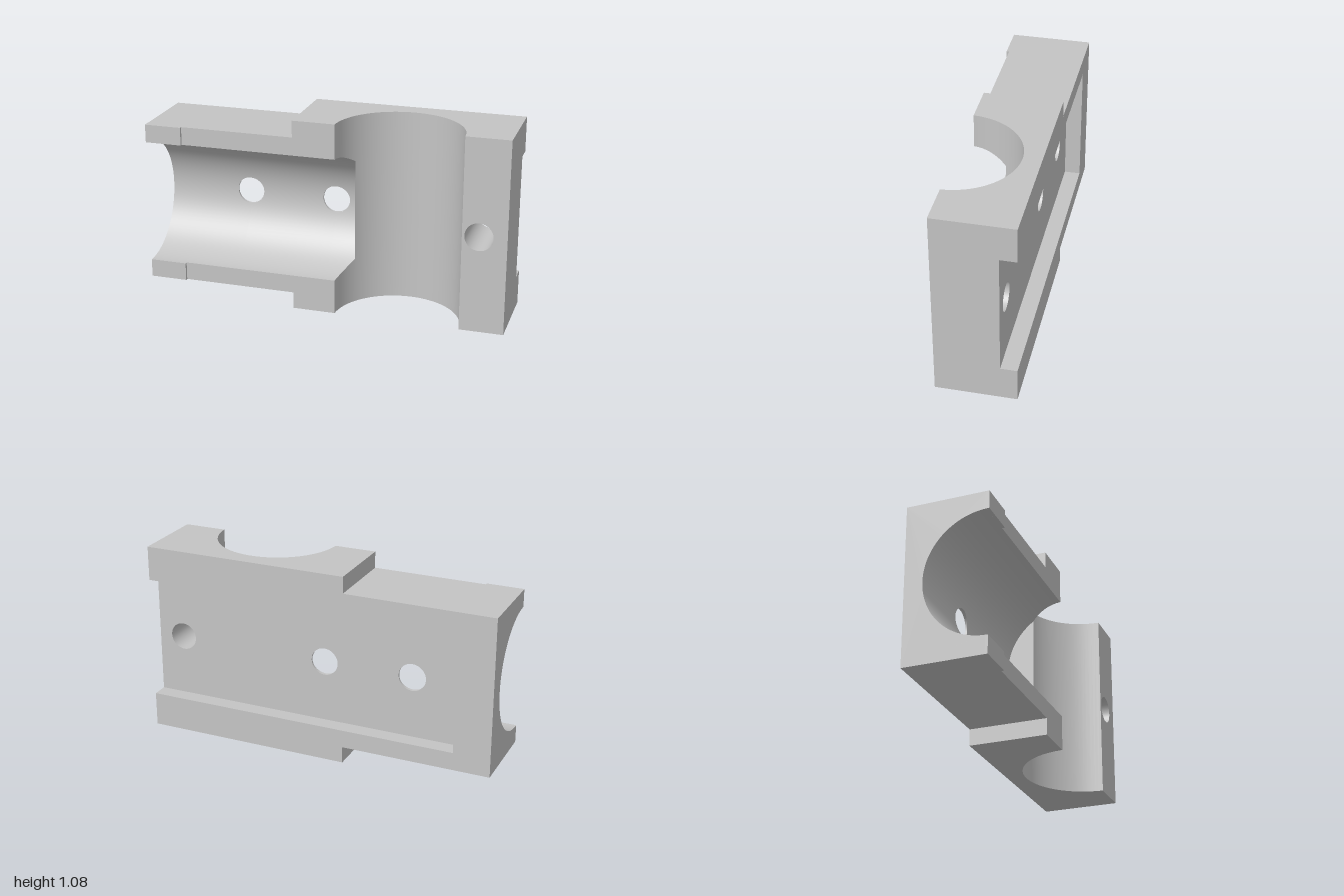
import * as THREE from 'three';

// Overall block
const TOP = 1.075, CY = TOP / 2, LOW = 0.0925, STEP = -0.165;
const FRONT = 0.21, BACK = -0.225, FLOOR = -0.135, POCKET = -0.795;
// Two crossing half-round bores of equal radius
const R = 0.345, CX = 0.415, CZ = 0.22, LIP = 0.13;
const H = Math.sqrt(R * R - (CZ - FRONT) ** 2);
const LIPU = CX - LIP;
// Bolt holes
const HR = 0.077, HOLES = [-0.525, -0.02, 0.85], SEG = 32;

const depth = u => CZ - Math.sqrt(R * R - u * u);
const mirrorY = pts => pts.map(([x, y]) => [x, TOP - y]);

// Offsets across a bore, following its arc, plus any extra stations
function stations(extra) {
  const a = Math.asin(H / R), list = [...extra];
  for (let i = 0; i <= 48; i++) list.push(R * Math.sin(-a + (2 * a * i) / 48));
  list.sort((p, q) => p - q);
  return list.filter((v, i) => i === 0 || v - list[i - 1] > 1e-6);
}

// Arc points of a bore section between two offsets, as [offset, z]
function arc(from, to) {
  const a = Math.asin(from / R), b = Math.asin(to / R);
  return Array.from({ length: 49 }, (_, i) => {
    const u = R * Math.sin(a + ((b - a) * i) / 48);
    return [u, depth(u)];
  });
}

const ring = x => Array.from({ length: SEG }, (_, i) => {
  const t = (i / SEG) * Math.PI * 2;
  return new THREE.Vector2(x + HR * Math.cos(t), CY + HR * Math.sin(t));
});

// Flat face on the plane axis = at, facing the given sign.
// Points are [x, y] for z planes, [x, z] for y planes, [z, y] for x planes.
function flat(axis, at, sign, pts, holes = []) {
  const shape = new THREE.Shape(pts.map(p => new THREE.Vector2(p[0], p[1])));
  holes.forEach(x => shape.holes.push(new THREE.Path(ring(x))));
  const geo = new THREE.ShapeGeometry(shape);
  const pos = geo.attributes.position;
  for (let i = 0; i < pos.count; i++) {
    const a = pos.getX(i), b = pos.getY(i);
    if (axis === 'z') pos.setXYZ(i, a, b, at);
    else if (axis === 'y') pos.setXYZ(i, a, at, b);
    else pos.setXYZ(i, at, b, a);
  }
  // The mapped faces point to +z, -y and -x before any flip
  if ((axis === 'z' ? 1 : -1) !== sign) flip(geo);
  geo.computeVertexNormals();
  return geo;
}

function flip(geo) {
  const idx = geo.index;
  for (let i = 0; i < idx.count; i += 3) {
    const a = idx.getX(i);
    idx.setX(i, idx.getX(i + 2));
    idx.setX(i + 2, a);
  }
}

const rect = (a0, b0, a1, b1) => [[a0, b0], [a1, b0], [a1, b1], [a0, b1]];

// Curved bore wall made of strips; spans(u, mid) gives the solid intervals along it
function bore(us, spans, vertical) {
  const position = [], normal = [];
  const put = (s, u) => {
    if (vertical) {
      position.push(CX + u, s, depth(u));
      normal.push(-u / R, 0, (CZ - depth(u)) / R);
    } else {
      position.push(s, CY + u, depth(u));
      normal.push(0, -u / R, (CZ - depth(u)) / R);
    }
  };
  for (let i = 0; i + 1 < us.length; i++) {
    const u0 = us[i], u1 = us[i + 1], mid = (u0 + u1) / 2;
    const lo = spans(u0, mid), hi = spans(u1, mid);
    lo.forEach(([a, b], k) => {
      const [c, d] = hi[k];
      const quad = [[a, u0], [b, u0], [d, u1], [a, u0], [d, u1], [c, u1]];
      if (vertical) quad.reverse();
      quad.forEach(q => put(...q));
    });
  }
  const geo = new THREE.BufferGeometry();
  geo.setAttribute('position', new THREE.Float32BufferAttribute(position, 3));
  geo.setAttribute('normal', new THREE.Float32BufferAttribute(normal, 3));
  return geo;
}

// Inside wall of a bolt hole, its front rim following the surface it opens on
function holeWall(x, rim) {
  const geo = new THREE.CylinderGeometry(HR, HR, 1, SEG, 1, true);
  geo.rotateX(Math.PI / 2);
  const pos = geo.attributes.position, nor = geo.attributes.normal;
  for (let i = 0; i < pos.count; i++) {
    const y = pos.getY(i);
    pos.setXYZ(i, pos.getX(i) + x, y + CY, pos.getZ(i) > 0 ? rim(y) : FLOOR);
    nor.setXYZ(i, -nor.getX(i), -nor.getY(i), 0);
  }
  flip(geo);
  return geo;
}

export function createModel() {
  const group = new THREE.Group();
  const grey = new THREE.MeshStandardMaterial({ color: 0xc4c4c4 });
  grey.name = 'plain grey';
  const add = (name, geo) => {
    const mesh = new THREE.Mesh(geo, grey);
    mesh.name = name;
    group.add(mesh);
    return mesh;
  };

  // Front faces either side of the bores
  const rail = [[-1, LOW], [STEP, LOW], [STEP, 0], [CX - H, 0], [CX - H, CY - H], [-1, CY - H]];
  add('lowerRailFace', flat('z', FRONT, 1, rail));
  add('upperRailFace', flat('z', FRONT, 1, mirrorY(rail)));
  add('postFace', flat('z', FRONT, 1, rect(CX + H, 0, 1, TOP), [HOLES[2]]));

  // Horizontal bore with two bolt holes, mitred into the vertical bore
  const holeStations = Array.from({ length: 17 }, (_, i) => HR * Math.sin(((i - 8) / SEG) * Math.PI * 2));
  add('horizontalBore', bore(stations([...holeStations, -LIPU, LIPU]), u => {
    const w = Math.sqrt(Math.max(0, HR * HR - u * u));
    const [a, b] = HOLES;
    return [[-1, a - w], [a + w, b - w], [b + w, Math.min(LIP, CX - Math.abs(u))]];
  }, false));

  // Vertical bore, open towards the horizontal one in front of the lip
  add('verticalBore', bore(stations([-LIPU]), (u, mid) =>
    mid < -LIPU ? [[0, CY + u], [CY - u, TOP]] : [[0, TOP]], true));

  // Lip wall that ends the horizontal bore
  add('boreLip', flat('x', LIP, -1, arc(-LIPU, LIPU).map(([u, z]) => [z, CY + u])));

  // Bolt hole walls
  HOLES.forEach((x, i) => add('boltHole' + (i + 1), holeWall(x, i < 2 ? depth : () => FRONT)));

  // Top and bottom, notched by the vertical bore, with lower ledges and steps
  const cap = [[STEP, FRONT], [STEP, BACK], [1, BACK], [1, FRONT],
    ...arc(H, -H).map(([u, z]) => [CX + u, z])];
  [[0, LOW, -1, 'bottom'], [TOP, TOP - LOW, 1, 'top']].forEach(([y, ledge, sign, name]) => {
    add(name + 'Face', flat('y', y, sign, cap));
    add(name + 'Ledge', flat('y', ledge, sign, rect(-1, BACK, STEP, FRONT)));
    add(name + 'Step', flat('x', STEP, -1, rect(BACK, Math.min(y, ledge), FRONT, Math.max(y, ledge))));
  });

  // Ends: one notched by the horizontal bore, one by the rear pocket
  const p0 = CY - R, p1 = CY + R;
  add('boreEnd', flat('x', -1, -1, [[FRONT, LOW], [BACK, LOW], [BACK, TOP - LOW], [FRONT, TOP - LOW],
    ...arc(H, -H).map(([u, z]) => [z, CY + u])]));
  add('pocketEnd', flat('x', 1, 1, [[FRONT, 0], [FRONT, TOP], [BACK, TOP], [BACK, p1],
    [FLOOR, p1], [FLOOR, p0], [BACK, p0], [BACK, 0]]));

  // Back face around the pocket
  add('backFace', flat('z', BACK, -1, [[-1, LOW], [STEP, LOW], [STEP, 0], [1, 0], [1, p0], [POCKET, p0],
    [POCKET, p1], [1, p1], [1, TOP], [STEP, TOP], [STEP, TOP - LOW], [-1, TOP - LOW]]));

  // Rear pocket
  add('pocketFloor', flat('z', FLOOR, -1, rect(POCKET, p0, 1, p1), HOLES));
  add('pocketLowerWall', flat('y', p0, 1, rect(POCKET, BACK, 1, FLOOR)));
  add('pocketUpperWall', flat('y', p1, -1, rect(POCKET, BACK, 1, FLOOR)));
  add('pocketEndWall', flat('x', POCKET, 1, rect(BACK, p0, FLOOR, p1)));

  // Raised pads at the open end of the horizontal bore
  const padH = p0 - LOW;
  [LOW + padH / 2, TOP - LOW - padH / 2].forEach((y, i) => {
    const pad = add(i ? 'upperPad' : 'lowerPad', new THREE.BoxGeometry(1 + POCKET, padH, 0.015));
    pad.position.set((POCKET - 1) / 2, y, FRONT + 0.0075);
  });
  return group;
}
